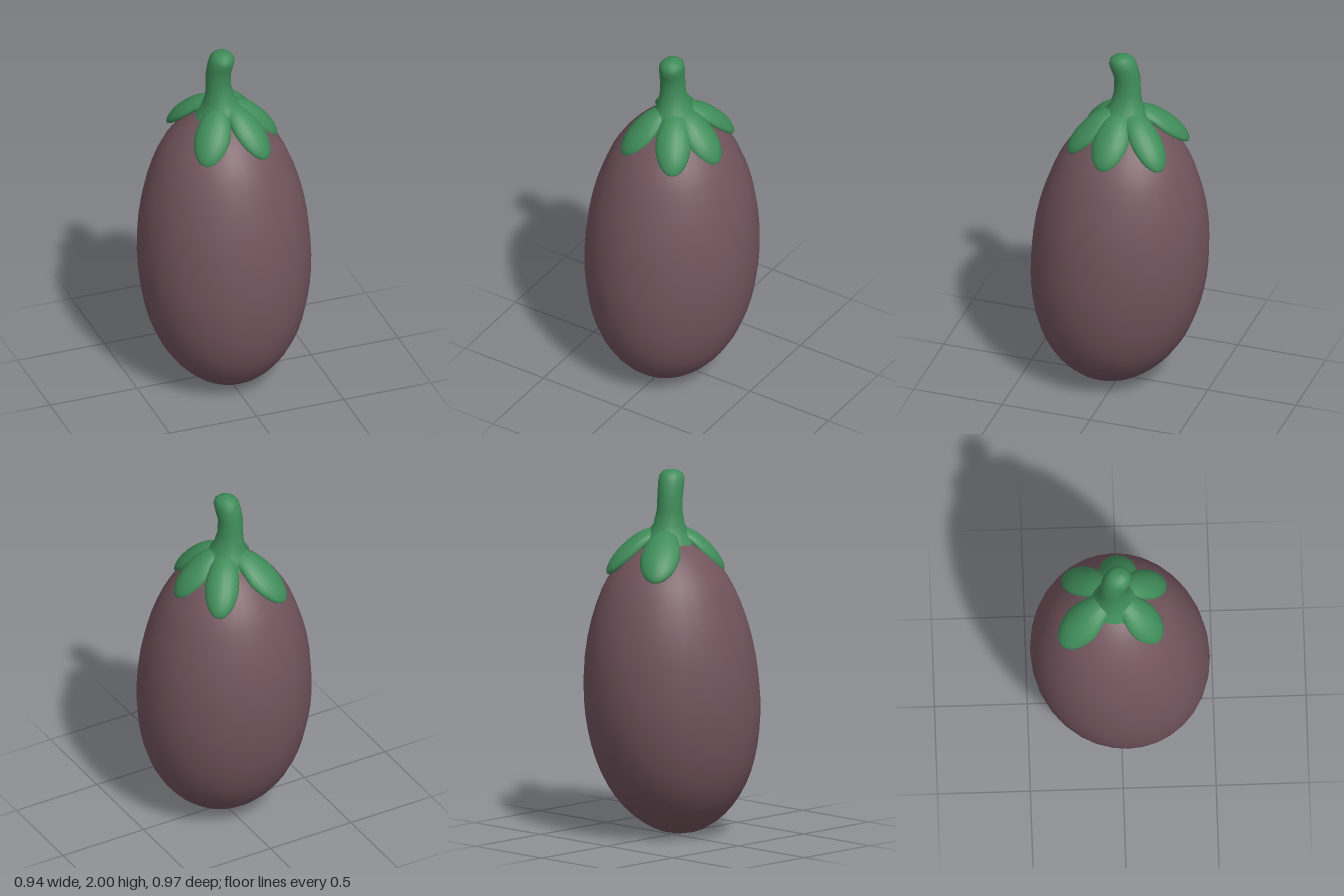
import * as THREE from 'three';

const V = (x, y, z) => new THREE.Vector3(x, y, z);

// Smooth skin over rings { c, u, v }: centre and two scaled axes, with u x v along the path.
// bend droops each ring's sides away from v.
function loft(rings, sides, bend = 0) {
  const pos = [], index = [];
  for (const { c, u, v } of rings) {
    const up = v.clone().normalize(), width = u.length();
    for (let j = 0; j < sides; j++) {
      const a = (j / sides) * Math.PI * 2;
      const side = width * Math.cos(a);
      const p = c.clone()
        .addScaledVector(u, Math.cos(a))
        .addScaledVector(v, Math.sin(a))
        .addScaledVector(up, -bend * side * side);
      pos.push(p.x, p.y, p.z);
    }
  }
  for (let i = 0; i < rings.length - 1; i++) {
    for (let j = 0; j < sides; j++) {
      const k = (j + 1) % sides;
      const a = i * sides + j, b = i * sides + k;
      index.push(a, b, b + sides, a, b + sides, a + sides);
    }
  }
  const g = new THREE.BufferGeometry();
  g.setAttribute('position', new THREE.Float32BufferAttribute(pos, 3));
  g.setIndex(index);
  g.computeVertexNormals();
  return g;
}

// Egg-shaped fruit, a little deeper than wide, that leans backwards towards the top
function bodyGeometry() {
  const profile = new THREE.SplineCurve([
    [0.001, 0], [0.1, 0.017], [0.2, 0.07], [0.295, 0.16], [0.37, 0.275], [0.422, 0.41], [0.455, 0.57],
    [0.468, 0.75], [0.454, 0.98], [0.413, 1.18], [0.352, 1.35], [0.287, 1.46], [0.2, 1.56],
    [0.1, 1.625], [0.001, 1.65],
  ].map(([x, y]) => new THREE.Vector2(x, y)));
  const rings = profile.getPoints(28).map(({ x: r, y }) => ({
    c: V(0, y, 0.06 - 0.1 * y + 0.025 * y * y), u: V(0, 0, r * 1.028), v: V(r, 0, 0),
  }));
  return loft(rings, 32);
}

// Stem: flared foot, slim neck, rounded tip tilted forwards
function stemGeometry() {
  const points = [
    [0, 1.6, -0.03, 0.145], [0, 1.65, -0.032, 0.115], [-0.01, 1.7, -0.035, 0.083],
    [-0.018, 1.78, -0.038, 0.068], [-0.02, 1.86, -0.036, 0.067], [-0.013, 1.92, -0.022, 0.069],
    [-0.008, 1.96, -0.008, 0.067], [-0.006, 1.982, 0.0, 0.053], [-0.005, 1.993, 0.003, 0.033],
    [-0.005, 1.998, 0.004, 0.001],
  ];
  const tilt = [0, 0, 0, 0, 0.1, 0.2, 0.22, 0.2, 0.15, 0.1];
  const rings = points.map(([x, y, z, r], i) => {
    const t = V(0, Math.cos(tilt[i]), Math.sin(tilt[i]));
    const u = V(1, 0, 0).cross(t).normalize();
    const v = t.clone().cross(u);
    return { c: V(x, y, z), u: u.multiplyScalar(r * 1.06), v: v.multiplyScalar(r) };
  });
  return loft(rings, 20);
}

// Plump leaf draped from the stem's foot down over the fruit
function leafGeometry(tipX, tipZ, halfWidth) {
  const root = V(0, 0, -0.03);
  const path = new THREE.CatmullRomCurve3(
    [[0.12, 1.655], [0.4, 1.63], [0.68, 1.56], [0.88, 1.49], [1, 1.437]].map(([d, y]) =>
      V(root.x + (tipX - root.x) * d, y, root.z + (tipZ - root.z) * d)));
  const across = V(tipZ - root.z, 0, root.x - tipX).normalize();
  const steps = 16, rings = [];
  for (let i = 0; i <= steps; i++) {
    const t = Math.sin((i / steps) * Math.PI / 2);
    const tangent = path.getTangentAt(t);
    const normal = tangent.clone().cross(across).normalize();
    // widest past the middle, rounded at the tip
    const round = Math.sqrt(Math.max(0, 1 - Math.pow(Math.max(0, (t - 0.52) / 0.48), 2)));
    const grow = THREE.MathUtils.smoothstep(t, 0, 0.52);
    const w = Math.max(0.001, (0.065 + (halfWidth - 0.065) * grow) * round);
    const h = Math.max(0.001, 0.039 * round);
    rings.push({ c: path.getPointAt(t), u: across.clone().multiplyScalar(w), v: normal.multiplyScalar(h) });
  }
  return loft(rings, 18, 2);
}

export function createModel() {
  const skin = new THREE.MeshStandardMaterial({ color: 0x72545d });
  skin.name = 'dusky purple';
  const green = new THREE.MeshStandardMaterial({ color: 0x3f8c59 });
  green.name = 'leaf green';

  const model = new THREE.Group();
  model.name = 'eggplant';
  const add = (name, geometry, material) => {
    const mesh = new THREE.Mesh(geometry, material);
    mesh.name = name;
    model.add(mesh);
  };

  add('body', bodyGeometry(), skin);
  add('stem', stemGeometry(), green);

  // Five leaves: tip x, tip z, half width
  [
    ['backRightLeaf', -0.19, -0.325, 0.108],
    ['backLeftLeaf', 0.2, -0.295, 0.092],
    ['leftLeaf', 0.295, 0.005, 0.102],
    ['frontLeftLeaf', 0.155, 0.24, 0.096],
    ['frontRightLeaf', -0.18, 0.21, 0.1],
  ].forEach(([name, x, z, w]) => add(name, leafGeometry(x, z, w), green));

  return model;
}
